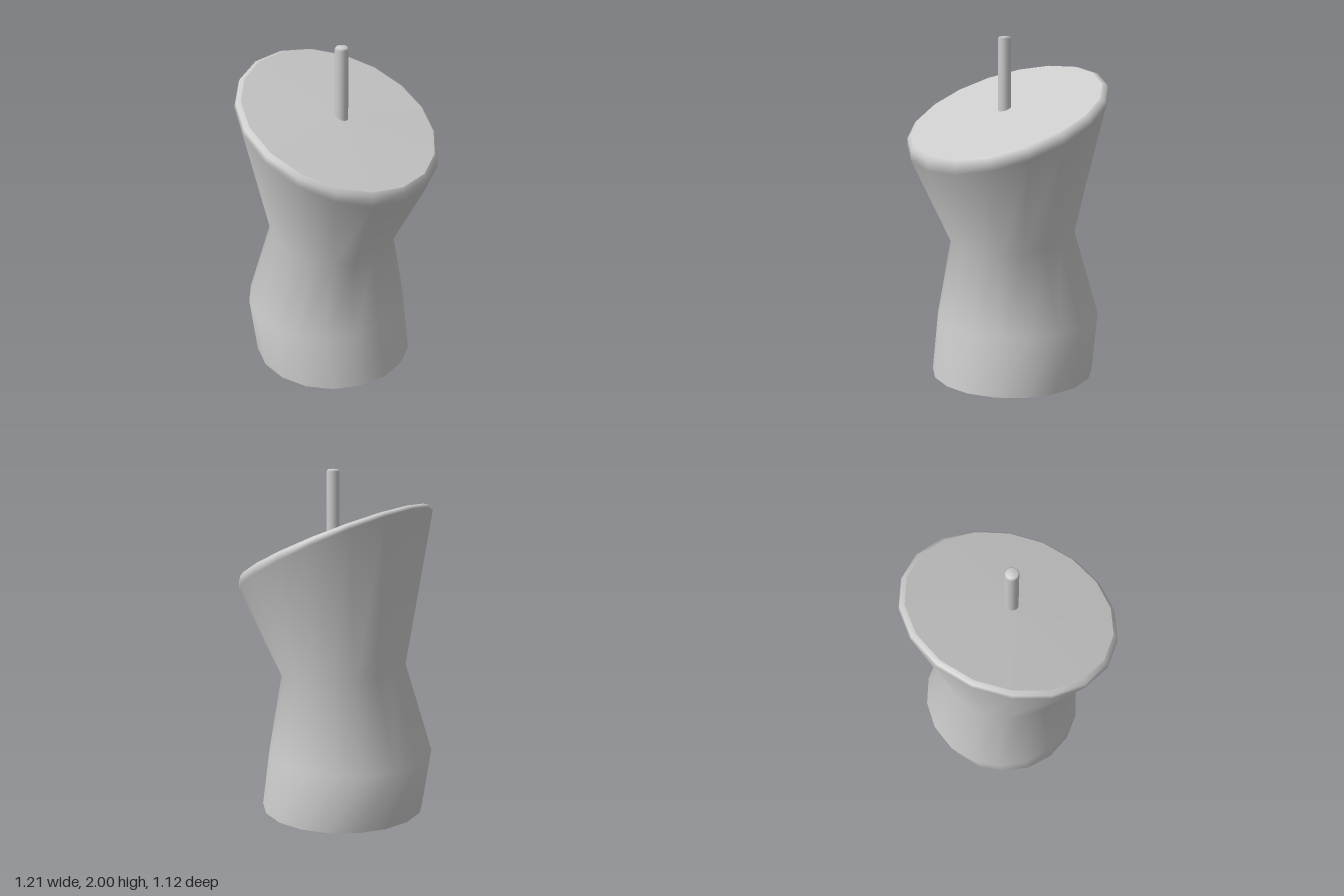
import * as THREE from 'three';

const SIDES = 18;
const material = new THREE.MeshStandardMaterial({ color: 0xcccccc });
const flatMaterial = new THREE.MeshStandardMaterial({ color: 0xcccccc, flatShading: true });

// Each tilted ring: x radius, front [z, y], back [z, y]
const RINGS = [
  [0.485, [0.45, 0], [-0.5, 0]],
  [0.485, [0.4, 0.34], [-0.555, 0.345]],
  [0.37, [0.33, 0.79], [-0.39, 0.87]],
  [0.607, [0.56, 1.275], [-0.515, 1.795]],
  [0.602, [0.56, 1.33], [-0.505, 1.81]],
  [0.575, [0.545, 1.355], [-0.48, 1.812]],
];

function ringPoints([rx, [zf, yf], [zb, yb]]) {
  const flat = Math.cos(Math.PI / SIDES); // front and back are edge midpoints
  return Array.from({ length: SIDES }, (_, j) => {
    const a = (j / SIDES) * Math.PI * 2;
    const s = Math.sin(a) / flat;
    return [rx * Math.cos(a), (yf + yb) / 2 + s * (yf - yb) / 2, (zf + zb) / 2 + s * (zf - zb) / 2];
  });
}

function makeMesh(name, points, index, mat) {
  const geometry = new THREE.BufferGeometry();
  geometry.setAttribute('position', new THREE.Float32BufferAttribute(points.flat(), 3));
  geometry.setIndex(index);
  geometry.computeVertexNormals();
  const mesh = new THREE.Mesh(geometry, mat);
  mesh.name = name;
  return mesh;
}

// Fan of triangles from a ring to one centre point
function makeFan(name, ring, rise, up, mat) {
  const [, [zf, yf], [zb, yb]] = ring;
  const points = [...ringPoints(ring), [0, (yf + yb) / 2 + rise, (zf + zb) / 2]];
  const index = [];
  for (let j = 0; j < SIDES; j++) {
    const k = (j + 1) % SIDES;
    index.push(SIDES, ...(up ? [k, j] : [j, k]));
  }
  return makeMesh(name, points, index, mat);
}

export function createModel() {
  const group = new THREE.Group();
  group.name = 'cup';

  // Waisted wall with a bevelled, slanted rim
  const index = [];
  for (let i = 0; i < RINGS.length - 1; i++) {
    for (let j = 0; j < SIDES; j++) {
      const a = i * SIDES + j;
      const b = i * SIDES + ((j + 1) % SIDES);
      index.push(a, a + SIDES, b, b, a + SIDES, b + SIDES);
    }
  }
  group.add(makeMesh('cupWall', RINGS.flatMap(ringPoints), index, material));

  // Shallow conical lid and flat base
  group.add(makeFan('lid', RINGS[RINGS.length - 1], 0.012, true, flatMaterial));
  group.add(makeFan('base', RINGS[0], 0, false, flatMaterial));

  // Straw with a slightly rounded tip
  const profile = [[0.038, 1.5], [0.038, 1.985], [0.03, 1.997], [0, 2]].map(p => new THREE.Vector2(...p));
  const straw = new THREE.Mesh(new THREE.LatheGeometry(profile, 16), material);
  straw.name = 'straw';
  straw.position.z = 0.04;
  group.add(straw);

  return group;
}
